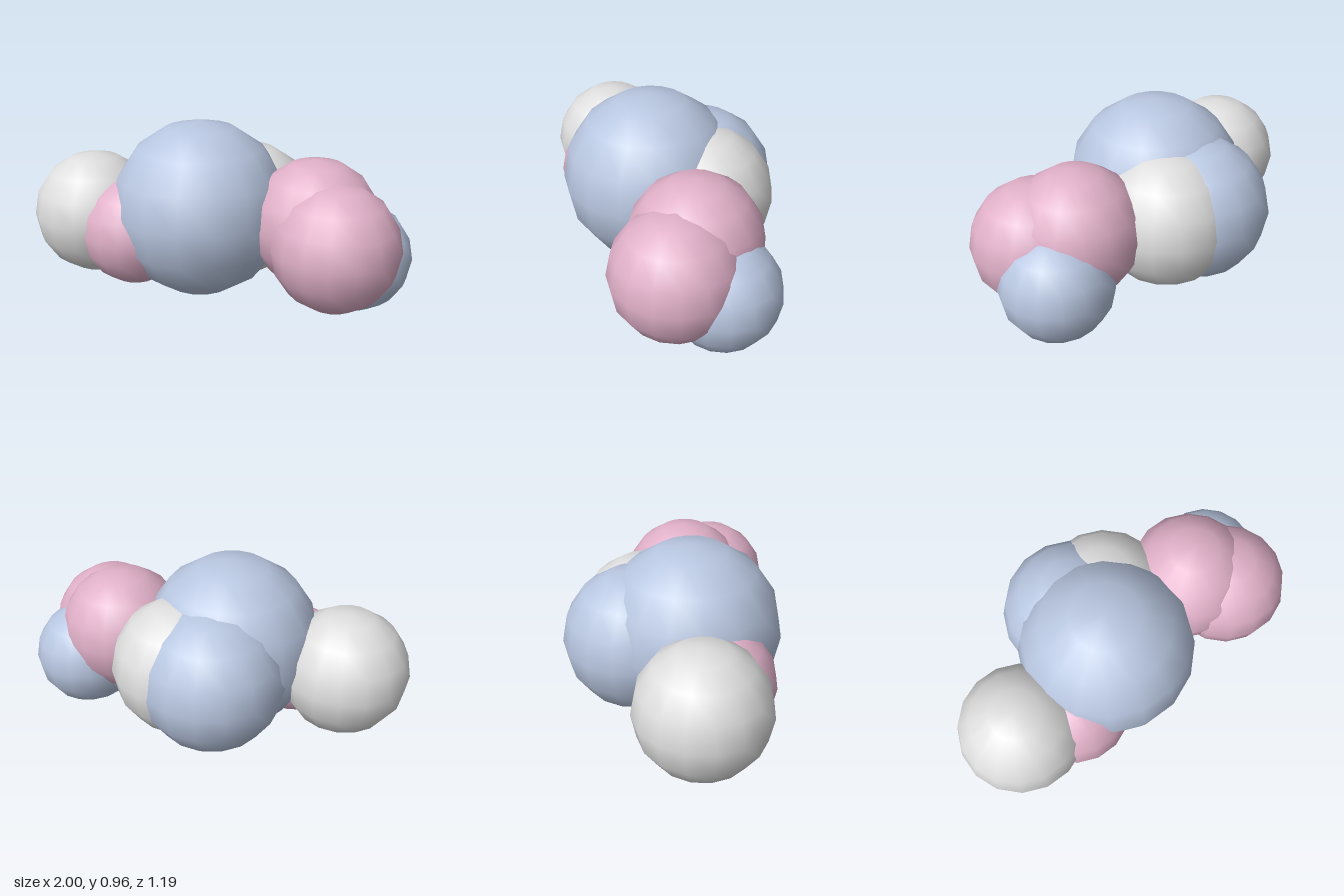
import * as THREE from 'three';

function material(name, color) {
  const m = new THREE.MeshStandardMaterial({ color });
  m.name = name;
  return m;
}

export function createModel() {
  const group = new THREE.Group();
  group.name = 'puffyCloud';

  const blue = material('powder blue', 0xb8c6e0);
  const pink = material('soft pink', 0xe0b0c8);
  const grey = material('pale grey', 0xdedede);

  // Overlapping puffs: name, material, centre x, y, z, radius
  const puffs = [
    ['centrePuff', blue, -0.09, 0.49, 0.06, 0.47],
    ['backRightPuff', blue, -0.16, 0.432, -0.22, 0.382],
    ['backCentrePuff', grey, 0.03, 0.438, -0.222, 0.363],
    ['rightEndPuff', grey, -0.665, 0.413, 0.257, 0.335],
    ['frontRightPuff', pink, -0.37, 0.367, 0.27, 0.29],
    ['innerLeftPuff', pink, 0.5, 0.467, -0.127, 0.338],
    ['leftEndPuff', pink, 0.672, 0.405, -0.02, 0.326],
    ['backLeftPuff', blue, 0.68, 0.292, -0.245, 0.288],
  ];

  for (const [name, mat, x, y, z, r] of puffs) {
    const puff = new THREE.Mesh(new THREE.SphereGeometry(r, 16, 8), mat);
    puff.name = name;
    puff.position.set(x, y, z);
    group.add(puff);
  }
  return group;
}
